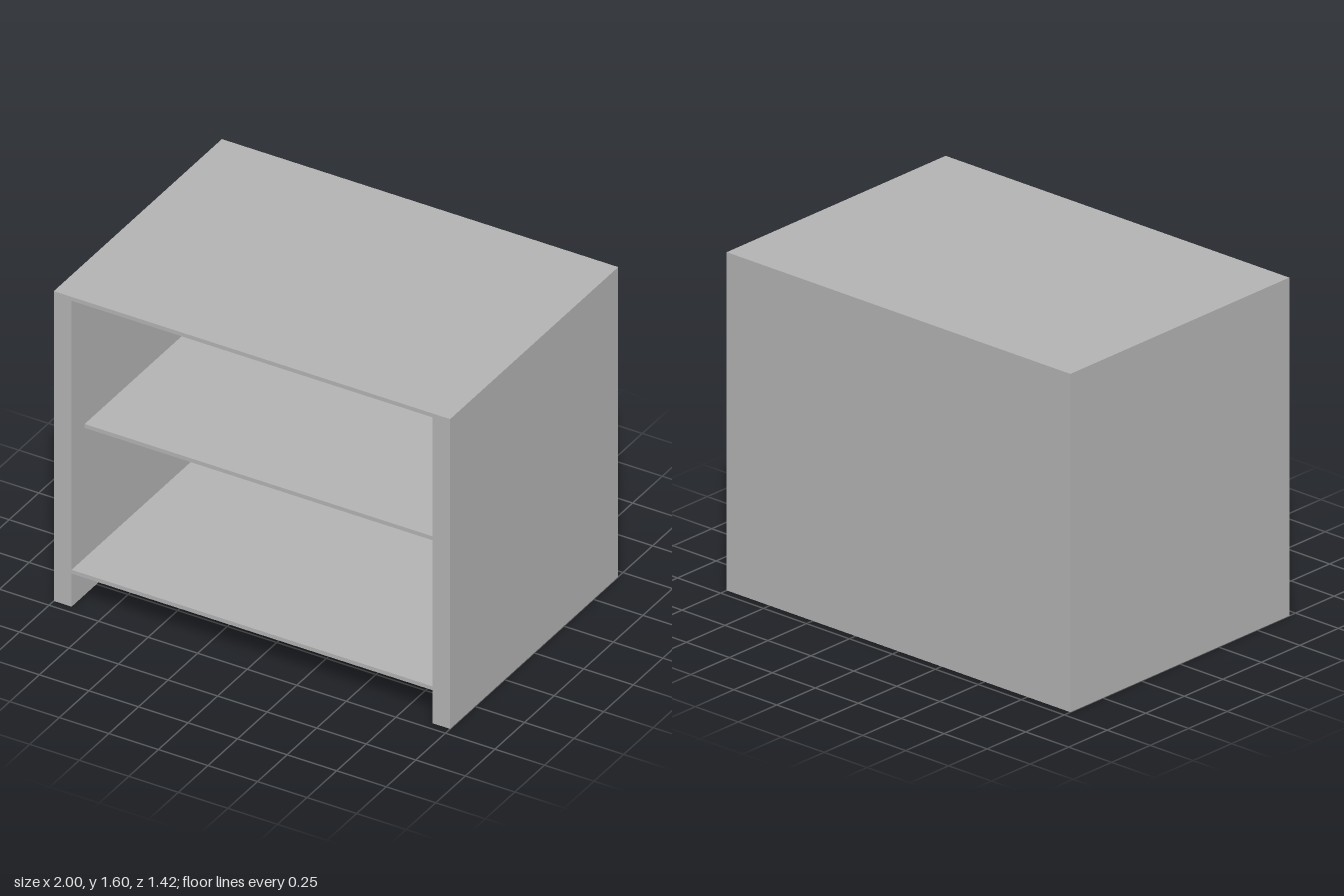
import * as THREE from 'three';

export function createModel() {
  const group = new THREE.Group();
  group.name = 'openCabinet';
  const grey = new THREE.MeshStandardMaterial({ color: 0xb2b2b2 });
  grey.name = 'plain grey';

  const W = 2, H = 1.595, D = 1.42; // outer size
  const wall = 0.09, board = 0.02;  // panel thicknesses
  const innerW = W - 2 * wall;
  const backZ = -D / 2 + wall;      // inside face of the back panel

  // A board given by its lower and upper limits on each axis
  const panel = (name, [x0, x1], [y0, y1], [z0, z1]) => {
    const mesh = new THREE.Mesh(new THREE.BoxGeometry(x1 - x0, y1 - y0, z1 - z0), grey);
    mesh.position.set((x0 + x1) / 2, (y0 + y1) / 2, (z0 + z1) / 2);
    mesh.name = name;
    group.add(mesh);
  };
  const span = [-innerW / 2, innerW / 2];

  // Carcass: two sides, thin top and thick back
  panel('leftSide', [W / 2 - wall, W / 2], [0, H - board], [-D / 2, D / 2]);
  panel('rightSide', [-W / 2, -W / 2 + wall], [0, H - board], [-D / 2, D / 2]);
  panel('top', [-W / 2, W / 2], [H - board, H], [-D / 2, D / 2]);
  panel('back', span, [0, H - board], [-D / 2, backZ]);

  // Shelves: the lower one is flush, the middle one is set back
  panel('bottomShelf', span, [0.17, 0.19], [backZ, D / 2]);
  panel('middleShelf', span, [0.86, 0.88], [backZ, 0.6]);

  return group;
}
